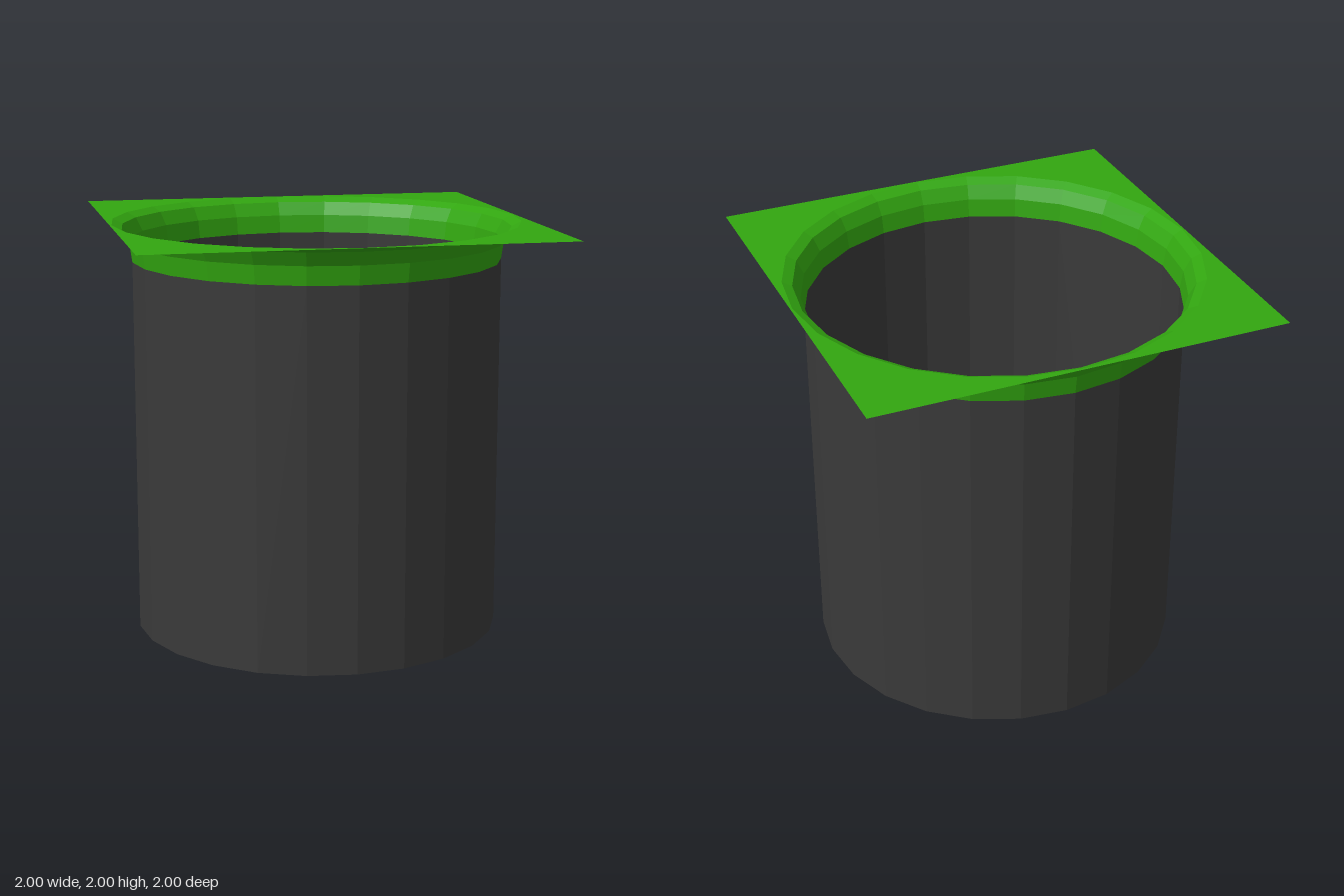
import * as THREE from 'three';

const SIDES = 24;
const RADIUS = 0.895, RIM_RADIUS = 0.99;
const WALL_TOP = 1.82, TOP = 2;

function material(color) {
  return new THREE.MeshStandardMaterial({ color, flatShading: true, side: THREE.DoubleSide });
}

function part(name, geometry, mat) {
  const mesh = new THREE.Mesh(geometry, mat);
  mesh.name = name;
  return mesh;
}

export function createModel() {
  const group = new THREE.Group();
  group.name = 'flangedContainer';
  const dark = material(0x3a3a3a);
  const green = material(0x32a610);

  // Open cylindrical wall
  const wall = new THREE.CylinderGeometry(RADIUS, RADIUS, WALL_TOP, SIDES, 1, true);
  wall.translate(0, WALL_TOP / 2, 0);
  group.add(part('wall', wall, dark));

  // Flat floor, facing down
  const floor = new THREE.CircleGeometry(RADIUS, SIDES);
  floor.rotateX(Math.PI / 2);
  group.add(part('floor', floor, dark));

  // Lip flaring outward along a quarter ellipse
  const profile = [];
  for (let i = 0; i <= 3; i++) {
    const t = (i / 3) * Math.PI / 2;
    profile.push(new THREE.Vector2(
      RADIUS + (RIM_RADIUS - RADIUS) * (1 - Math.cos(t)),
      WALL_TOP + (TOP - WALL_TOP) * Math.sin(t)
    ));
  }
  group.add(part('flaredLip', new THREE.LatheGeometry(profile, SIDES), green));

  // Thin square flange with a round opening
  const square = new THREE.Shape([[-1, -1], [1, -1], [1, 1], [-1, 1]].map(([x, y]) => new THREE.Vector2(x, y)));
  const opening = [];
  for (let i = 0; i < SIDES; i++) {
    const a = -(i / SIDES) * Math.PI * 2;
    opening.push(new THREE.Vector2(Math.cos(a), Math.sin(a)).multiplyScalar(RIM_RADIUS));
  }
  square.holes.push(new THREE.Path(opening));
  const flange = new THREE.ShapeGeometry(square);
  flange.rotateX(-Math.PI / 2);
  flange.translate(0, TOP, 0);
  group.add(part('squareFlange', flange, green));

  return group;
}
